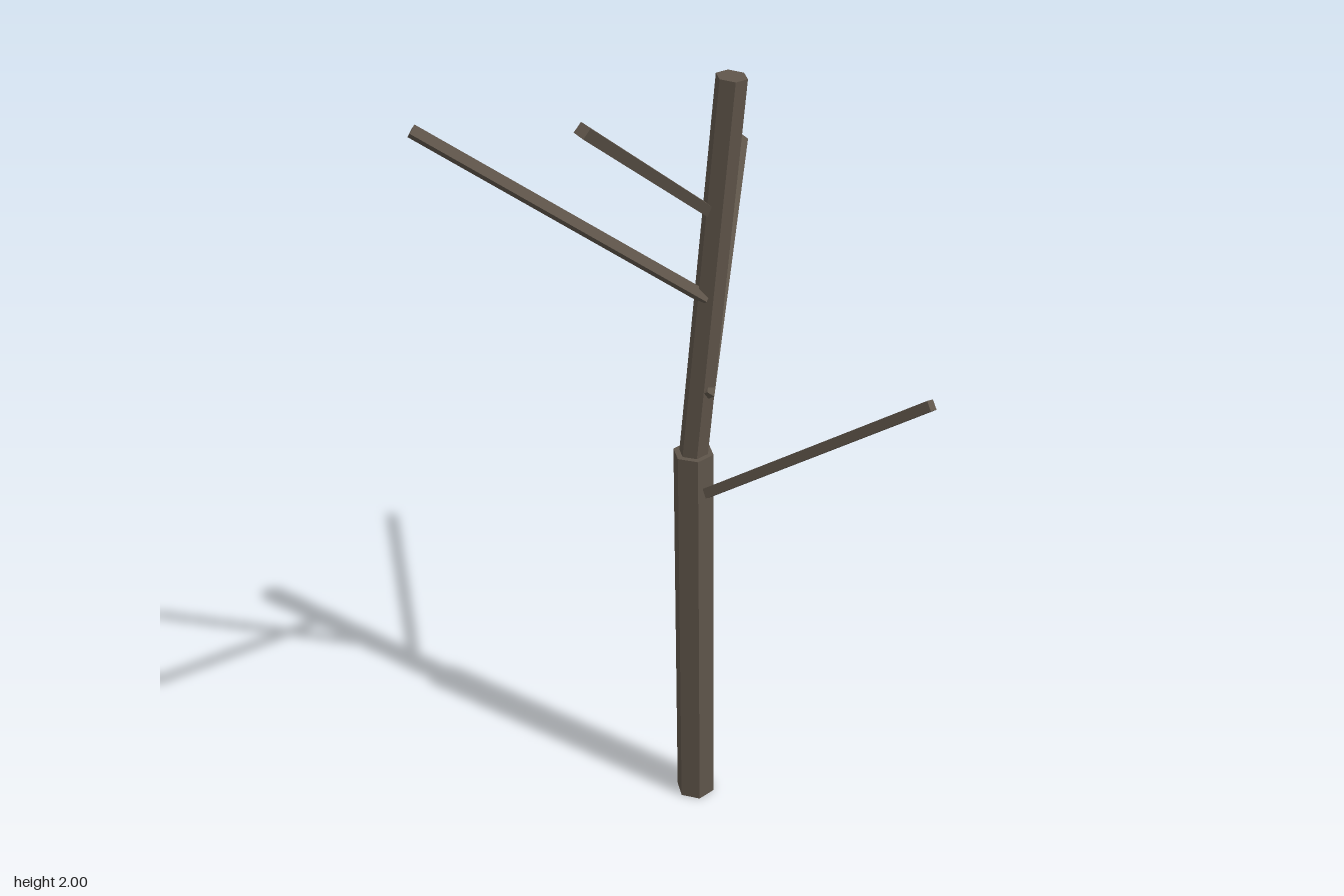
import * as THREE from 'three';

export function createModel() {
  const tree = new THREE.Group();
  tree.name = 'bareTree';
  const bark = new THREE.MeshStandardMaterial({ color: 0x5f554a, flatShading: true });
  bark.name = 'bark';
  const up = new THREE.Vector3(0, 1, 0);

  // Places a part of unit height so that it runs from one point to another
  function limb(name, geometry, from, to) {
    const a = new THREE.Vector3(...from);
    const b = new THREE.Vector3(...to);
    const dir = b.clone().sub(a);
    const mesh = new THREE.Mesh(geometry, bark);
    mesh.name = name;
    mesh.scale.y = dir.length();
    mesh.position.copy(a).add(b).multiplyScalar(0.5);
    mesh.quaternion.setFromUnitVectors(up, dir.normalize());
    tree.add(mesh);
  }

  // Six-sided trunk: straight below, leaning above
  limb('lowerTrunk', new THREE.CylinderGeometry(0.048, 0.048, 1, 6), [-0.087, 0, -0.02], [-0.087, 1, -0.02]);
  limb('upperTrunk', new THREE.CylinderGeometry(0.034, 0.034, 1, 6), [-0.087, 0.995, -0.02], [-0.009, 1.902, -0.06]);

  // Square branches, fanned out and climbing the trunk
  const branch = new THREE.BoxGeometry(0.023, 1, 0.023);
  const branches = [
    [0.91, [0.461, 1.284, -0.19]],
    [1.165, [-0.425, 1.533, -0.488]],
    [1.405, [-0.463, 1.782, 0.416]],
    [1.612, [0.186, 1.988, 0.488]],
  ];
  branches.forEach(([y, tip], i) => limb(`branch${i + 1}`, branch, [-0.041, y, -0.02], tip));

  return tree;
}
